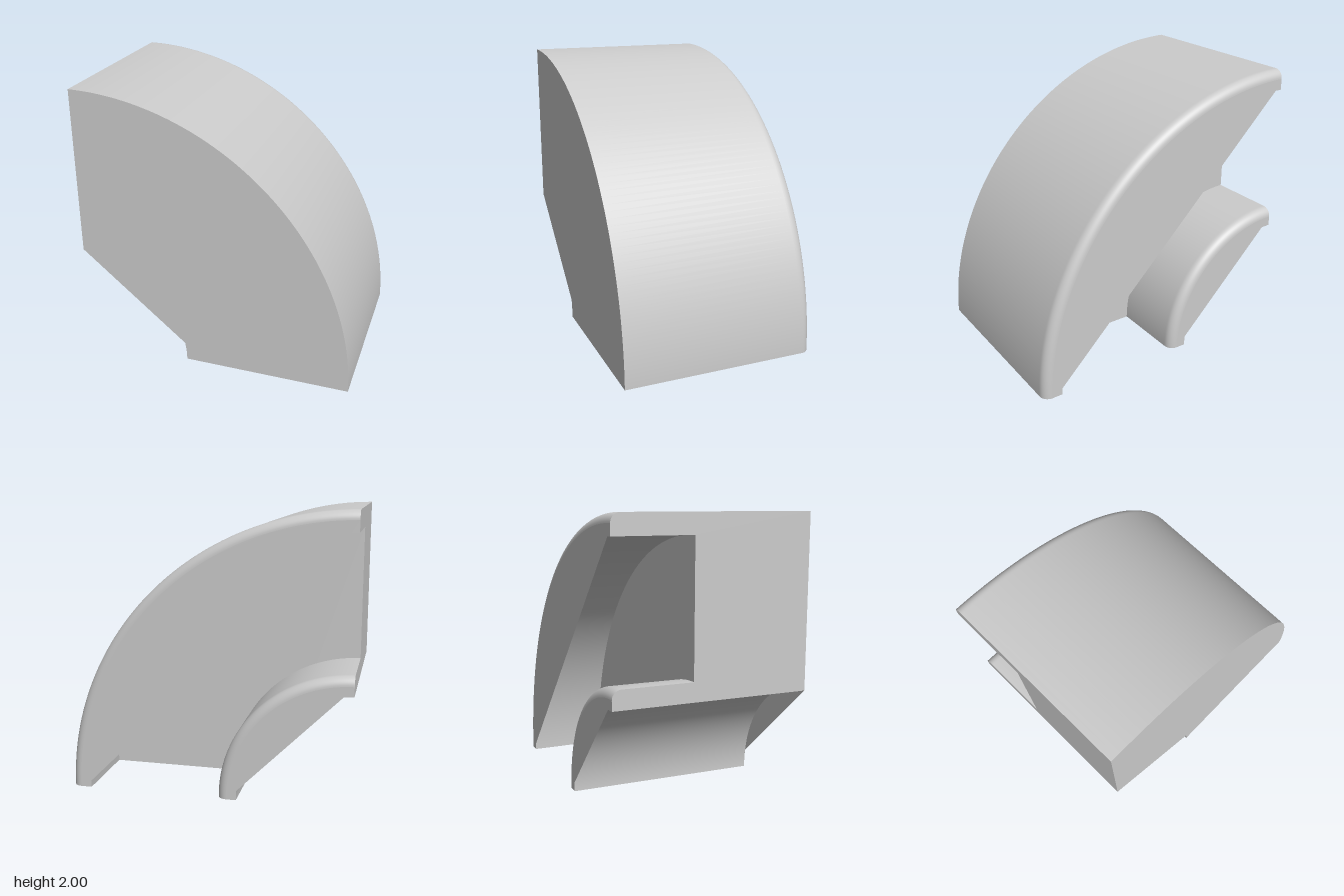
import * as THREE from 'three';

const FRONT = 0.7, BACK = -0.7, FLOOR = -0.14; // z levels
const R_IN = 0.79, R_LIP = 0.925, R_GROOVE = 1.857, R_OUT = 2, FILLET = 0.065;
const RAD = Math.PI / 180;

export function createModel() {
  const group = new THREE.Group();
  const material = new THREE.MeshStandardMaterial({ color: 0xcccccc, side: THREE.DoubleSide });
  const add = (name, geometry) => {
    const mesh = new THREE.Mesh(geometry, material);
    mesh.name = name;
    group.add(mesh);
  };
  const v2 = (x, y) => new THREE.Vector2(x, y);
  const polar = (r, deg) => v2(r * Math.cos(deg * RAD), r * Math.sin(deg * RAD));
  const arc = (r, from = 0, to = 90, n = 64) =>
    Array.from({ length: n + 1 }, (_, i) => polar(r, from + (to - from) * i / n));
  const flat = (points) => new THREE.ShapeGeometry(new THREE.Shape(points));

  // Quarter-turn surface about the z axis from (radius, z) points
  const sweep = (name, points) =>
    add(name, new THREE.LatheGeometry(points, 64, Math.PI / 2, Math.PI / 2).rotateX(Math.PI / 2));

  // Rounded back edge of a wall whose outer radius is r, then the wall itself
  const rounded = (r, zEnd) => [
    ...arc(FILLET, -90, 0, 10).map((p) => v2(r - FILLET + p.x, BACK + FILLET + p.y)),
    v2(r, BACK + FILLET + 0.01), v2(r, zEnd),
  ];
  const outerEdge = rounded(R_OUT, FRONT);
  const lipEdge = rounded(R_LIP, FLOOR);

  // Curved walls
  sweep('outerWall', outerEdge);
  sweep('grooveOuterWall', [v2(R_GROOVE, FLOOR), v2(R_GROOVE, BACK)]);
  sweep('grooveInnerWall', lipEdge);
  sweep('innerWall', [v2(R_IN, FRONT), v2(R_IN, BACK)]);

  // Front face, cut off by a slanted line inside the bend
  add('frontFace', flat([...arc(R_OUT), polar(R_IN, 90), polar(R_IN, 10), polar(R_IN, 5), polar(R_IN, 0)])
    .translate(0, 0, FRONT));

  // Faces looking backwards: groove floor and the two segment-shaped rims
  const backFace = (name, points, z) =>
    add(name, flat(points.map((p) => v2(-p.x, p.y))).rotateY(Math.PI).translate(0, 0, z));
  backFace('grooveFloor', [...arc(R_GROOVE), ...arc(R_LIP, 90, 0)], FLOOR);
  const rim = (name, rOuter, rInner, step) => backFace(name,
    [...arc(rOuter - FILLET), ...[90, 90 - step, step, 0].map((a) => polar(rInner, a))], BACK);
  rim('outerRim', R_OUT, R_GROOVE, 1.5);
  rim('innerRim', R_LIP, R_IN, 5);

  // Flat ends showing the channel section
  const section = [
    v2(R_IN, FRONT), v2(R_IN, BACK), ...lipEdge,
    v2(R_GROOVE, FLOOR), v2(R_GROOVE, BACK), ...outerEdge,
  ];
  add('bottomEnd', flat(section).rotateX(Math.PI / 2));
  add('sideEnd', flat(section.map((p) => v2(p.y, p.x))).rotateY(-Math.PI / 2));

  group.children.forEach((mesh) => mesh.geometry.translate(-1, 0, 0));
  return group;
}
